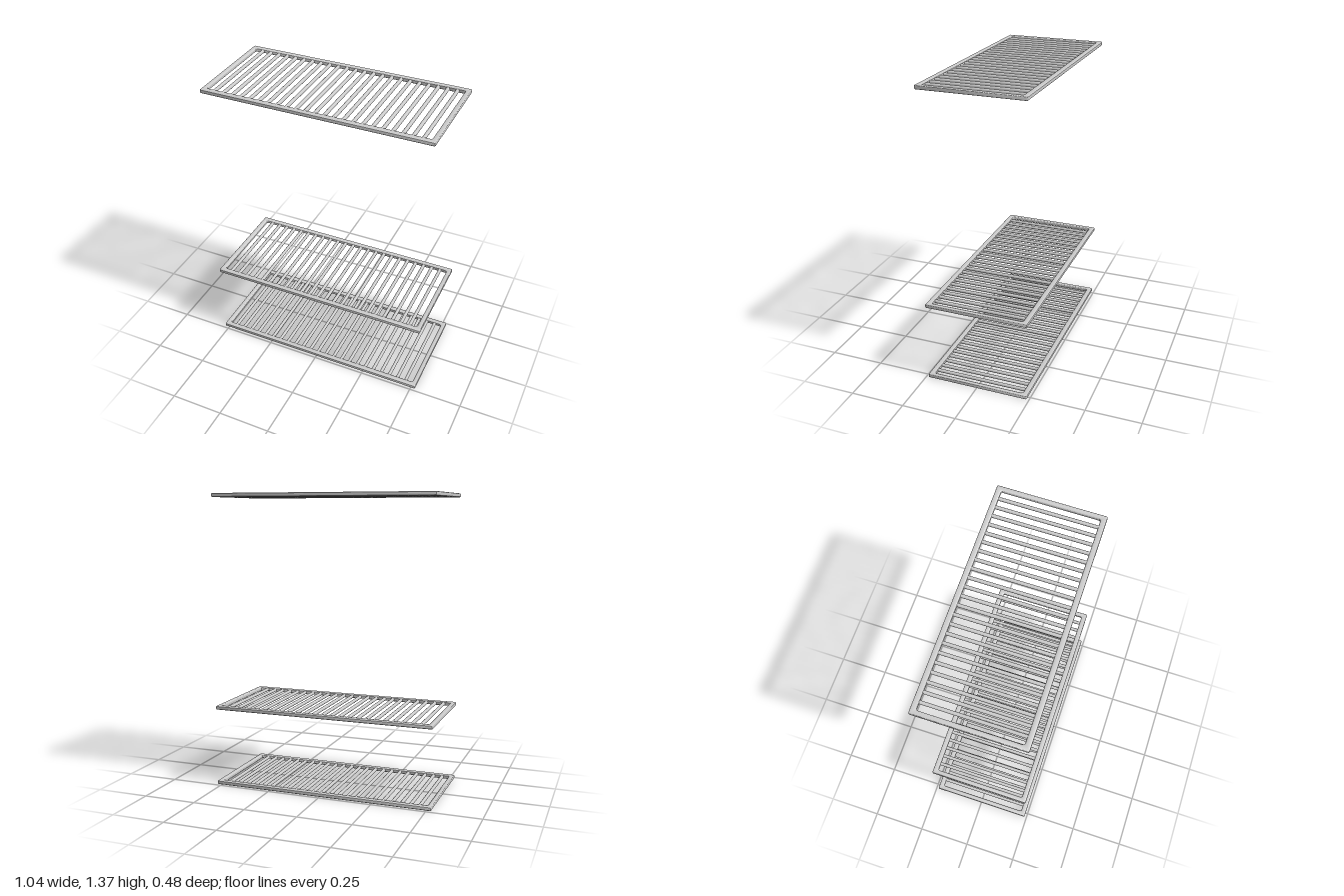
import * as THREE from 'three';
import { toCreasedNormals } from 'three/addons/utils/BufferGeometryUtils.js';

const HALF_X = 0.522, HALF_Z = 0.239;     // outer frame
const INNER_X = 0.5, INNER_Z = 0.214;     // frame opening
const THICK = 0.018;
const BAR_COUNT = 23, BAR_SPAN = 0.93, BAR_RADIUS = 0.008;
const LEVELS = { lowerRack: 0.639, middleRack: 1.004, upperRack: 1.991 };

const material = new THREE.MeshStandardMaterial({ color: 0xcccccc });

// Rounded rectangle outline centred on the origin
function roundedRect(path, hx, hy, r) {
  path.absarc(hx - r, hy - r, r, 0, Math.PI / 2);
  path.absarc(-hx + r, hy - r, r, Math.PI / 2, Math.PI);
  path.absarc(-hx + r, -hy + r, r, Math.PI, Math.PI * 1.5);
  path.absarc(hx - r, -hy + r, r, Math.PI * 1.5, Math.PI * 2);
  path.closePath();
  return path;
}

// Rim with softened edges, lying flat and centred on y = 0
function frameGeometry() {
  const bevel = 0.005;
  const shape = roundedRect(new THREE.Shape(), HALF_X, HALF_Z, 0.006);
  shape.holes.push(roundedRect(new THREE.Path(), INNER_X, INNER_Z, 0.008));
  const geometry = new THREE.ExtrudeGeometry(shape, {
    depth: THICK - 2 * bevel, curveSegments: 4,
    bevelThickness: bevel, bevelSize: bevel, bevelOffset: -bevel, bevelSegments: 3,
  });
  geometry.translate(0, 0, bevel - THICK / 2);
  geometry.rotateX(-Math.PI / 2);
  return toCreasedNormals(geometry, 0.7);
}

export function createModel() {
  const model = new THREE.Group();
  model.name = 'grillRacks';

  const rim = frameGeometry();
  const rod = new THREE.CylinderGeometry(BAR_RADIUS, BAR_RADIUS, 2 * INNER_Z + 0.016, 12);
  rod.rotateX(Math.PI / 2);

  for (const [name, y] of Object.entries(LEVELS)) {
    const rack = new THREE.Group();
    rack.name = name;
    rack.position.y = y;

    const frame = new THREE.Mesh(rim, material);
    frame.name = 'frame';
    rack.add(frame);

    // Evenly spaced round bars running front to back
    for (let i = 0; i < BAR_COUNT; i++) {
      const bar = new THREE.Mesh(rod, material);
      bar.name = 'bar';
      bar.position.x = (i / (BAR_COUNT - 1) - 0.5) * BAR_SPAN;
      rack.add(bar);
    }
    model.add(rack);
  }
  return model;
}
